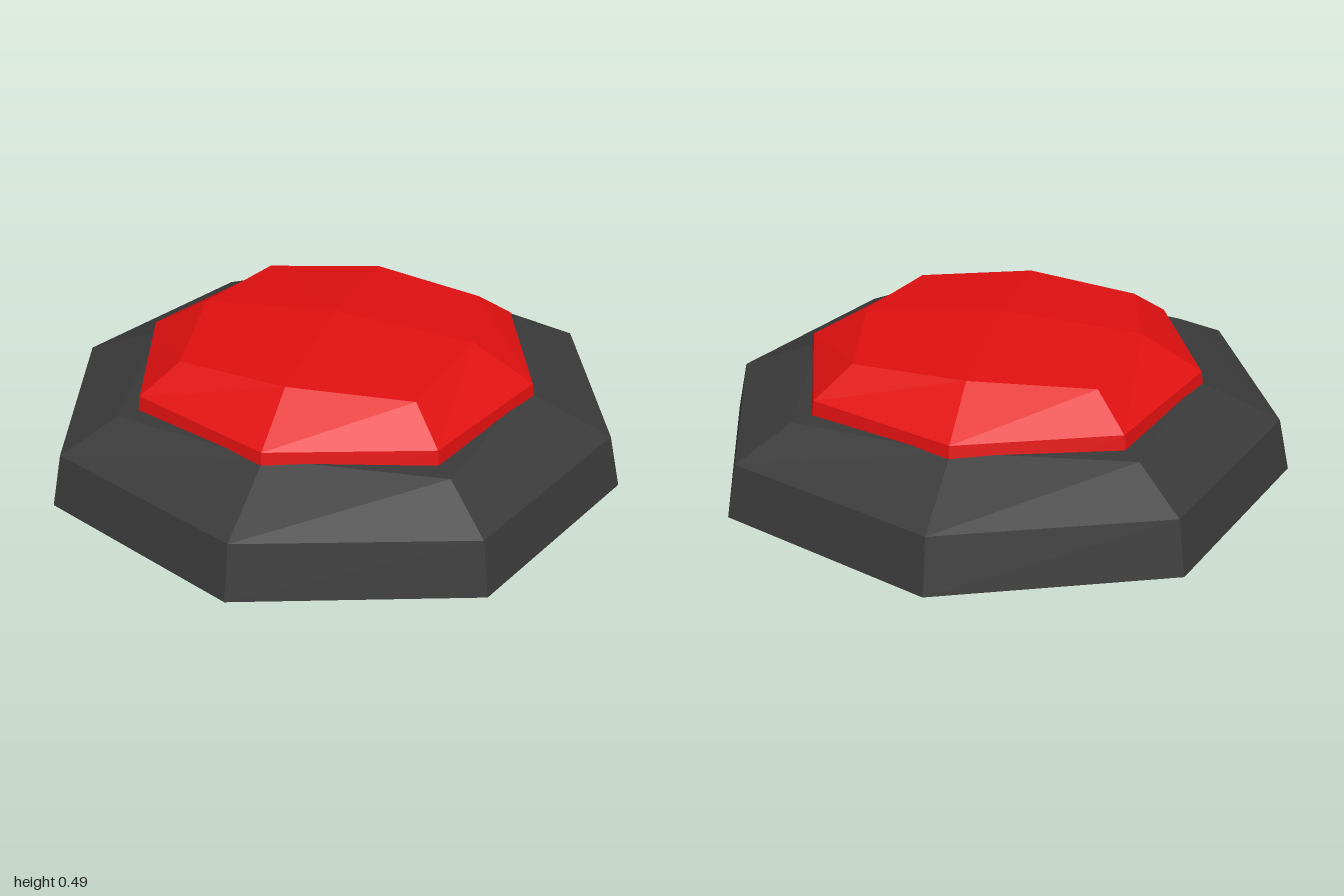
import * as THREE from 'three';

// Eight-sided ring: axis = reach along x and z, diag = x and z of the corners
function ring(axis, diag, yAxis, yDiag = yAxis) {
  return Array.from({ length: 8 }, (_, i) => {
    const a = (i * Math.PI) / 4;
    const r = i % 2 ? diag * Math.SQRT2 : axis;
    return [r * Math.cos(a), i % 2 ? yDiag : yAxis, -r * Math.sin(a)];
  });
}

// Open-bottomed faceted dome: flared skirt, sloped shoulder and low crown
function domeShell(name, color, scale, baseY) {
  const rings = [
    ring(1, 0.725, 0),
    ring(0.957, 0.697, 0.18),
    ring(0.67, 0.556, 0.298, 0.275),
  ].map((r) => r.map(([x, y, z]) => [x * scale, y + baseY, z * scale]));
  const pos = [];
  const quad = (a, b, c, d) => pos.push(...a, ...b, ...c, ...a, ...c, ...d);

  // Skirt and shoulder
  for (let k = 0; k < 2; k++) {
    for (let i = 0; i < 8; i++) {
      const j = (i + 1) % 8;
      quad(rings[k][i], rings[k][j], rings[k + 1][j], rings[k + 1][i]);
    }
  }
  // Crown of four panels meeting at the centre
  const top = rings[2];
  for (let i = 0; i < 8; i += 2) {
    quad([0, 0.338 + baseY, 0], top[i], top[i + 1], top[(i + 2) % 8]);
  }

  const geo = new THREE.BufferGeometry();
  geo.setAttribute('position', new THREE.Float32BufferAttribute(pos, 3));
  geo.computeVertexNormals();
  const mat = new THREE.MeshStandardMaterial({ color, flatShading: true, side: THREE.DoubleSide });
  const mesh = new THREE.Mesh(geo, mat);
  mesh.name = name;
  return mesh;
}

export function createModel() {
  const model = new THREE.Group();
  model.name = 'pushButton';
  model.add(domeShell('housing', 0x3a3a3a, 1, 0));
  model.add(domeShell('buttonCap', 0xe01010, 0.717, 0.15));
  return model;
}
